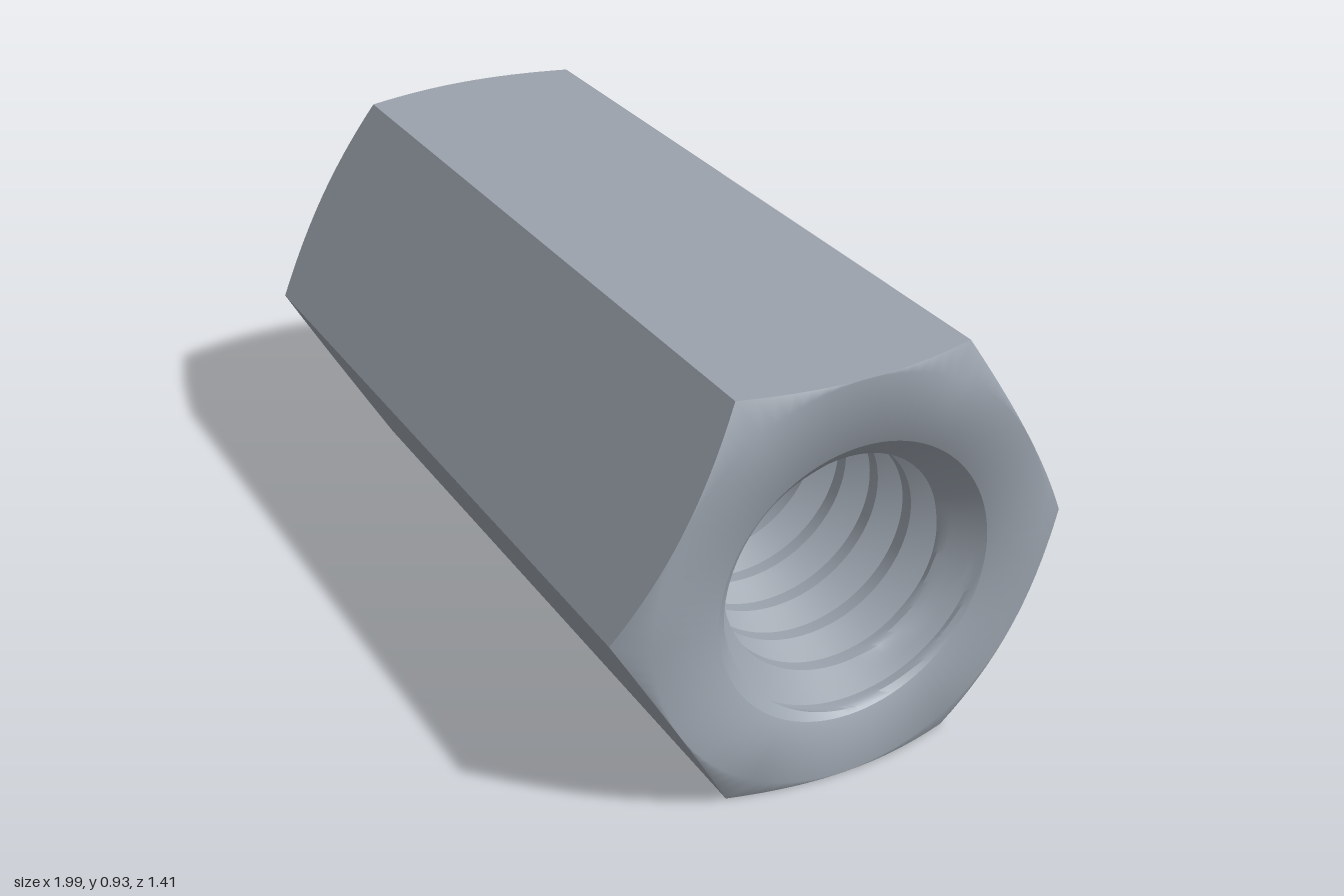
import * as THREE from 'three';
import { toCreasedNormals } from 'three/addons/utils/BufferGeometryUtils.js';

const HALF = 0.92;          // half length along the axis
const APOTHEM = 0.4625;     // half the distance across flats
const SINK = 0.317;         // countersink radius at the end faces
const MINOR = 0.245, MAJOR = 0.306, PITCH = 0.1233;
const SEG = 96;             // steps around the axis

// Surface from a rule point(row, angle) -> [radius, z]; outward or inward facing
function sweep(rows, point, outward) {
  const pos = [], index = [];
  for (let i = 0; i <= rows; i++) {
    for (let j = 0; j <= SEG; j++) {
      const a = (j / SEG) * Math.PI * 2;
      const [r, z] = point(i, a);
      pos.push(r * Math.cos(a), r * Math.sin(a), z);
    }
  }
  const zAt = (k) => pos[k * 3 + 2];
  for (let i = 0; i < rows; i++) {
    for (let j = 0; j < SEG; j++) {
      const a = i * (SEG + 1) + j, b = a + 1, c = a + SEG + 1, d = c + 1;
      // skip strips squeezed flat against an end of the bore
      if (!outward && zAt(a) === zAt(c) && zAt(b) === zAt(d)) continue;
      if (outward) index.push(a, b, d, a, d, c);
      else index.push(a, d, b, a, c, d);
    }
  }
  const g = new THREE.BufferGeometry();
  g.setAttribute('position', new THREE.Float32BufferAttribute(pos, 3));
  g.setIndex(index);
  return g;
}

// Hexagon outline radius with flats at top and bottom
function hexRadius(a) {
  const third = Math.PI / 3;
  const local = (((a % third) + third) % third) - third / 2;
  return APOTHEM / Math.cos(local);
}
// 30 degree chamfer height at the hexagon outline
const rimZ = (a) => HALF - (hexRadius(a) - APOTHEM) * Math.tan(Math.PI / 6);

// Six flat sides with arched ends
function sidesGeometry() {
  const g = sweep(1, (i, a) => [hexRadius(a), i ? rimZ(a) : -rimZ(a)], true);
  return toCreasedNormals(g, 0.6);
}

// End face: flat ring running softly into the chamfer and the countersink
function endGeometry() {
  const g = sweep(2, (i, a) => {
    if (i === 0) return [hexRadius(a), rimZ(a)];
    return [i === 1 ? APOTHEM - 0.001 : SINK, HALF];
  }, true);
  g.computeVertexNormals();
  const n = g.attributes.normal;
  for (let j = 0; j <= SEG; j++) {
    const a = (j / SEG) * Math.PI * 2;
    n.setXYZ(2 * (SEG + 1) + j, -0.38 * Math.cos(a), -0.38 * Math.sin(a), 0.925);
  }
  return g;
}

// Right-hand helical thread, opened by a 45 degree countersink at both ends
function threadGeometry() {
  const STEPS = 12;
  const turns = Math.ceil((2 * HALF) / PITCH) + 3;
  const rootHalf = 0.08, crestStart = 0.375;  // fractions of the pitch
  const g = sweep(turns * STEPS, (i, a) => {
    const k = i % STEPS;
    // profile stations: root, flank, crest, flank
    const stations = [-0.08, 0, 0.08, 0.18, 0.28, 0.375, 0.46, 0.54, 0.625, 0.72, 0.82, 0.87];
    const f = stations[k];
    const fromRoot = Math.min(Math.abs(f), 1 - f);
    const t = THREE.MathUtils.clamp((fromRoot - rootHalf) / (crestStart - rootHalf), 0, 1);
    const turn = Math.floor(i / STEPS) + f + a / (Math.PI * 2);
    const z = THREE.MathUtils.clamp(HALF + (turn - turns + 1) * PITCH, -HALF, HALF);
    const r = THREE.MathUtils.lerp(MAJOR, MINOR, t);
    return [Math.max(r, SINK - (HALF - Math.abs(z))), z];
  }, false);
  return toCreasedNormals(g, 0.6);
}

export function createModel() {
  const steel = new THREE.MeshStandardMaterial({ color: 0x9aa2ac });
  steel.name = 'steel';

  const nut = new THREE.Group();
  nut.name = 'couplingNut';
  const add = (name, geometry) => {
    const mesh = new THREE.Mesh(geometry, steel);
    mesh.name = name;
    nut.add(mesh);
    return mesh;
  };

  add('hexSides', sidesGeometry());
  const end = endGeometry();
  add('leftEndFace', end);
  add('rightEndFace', end).rotation.y = Math.PI;
  add('threadedBore', threadGeometry());

  // Lay the axis along x, turned 12 degrees towards the front
  nut.rotation.y = THREE.MathUtils.degToRad(78);
  nut.position.y = APOTHEM;

  const model = new THREE.Group();
  model.name = 'model';
  model.add(nut);
  return model;
}
